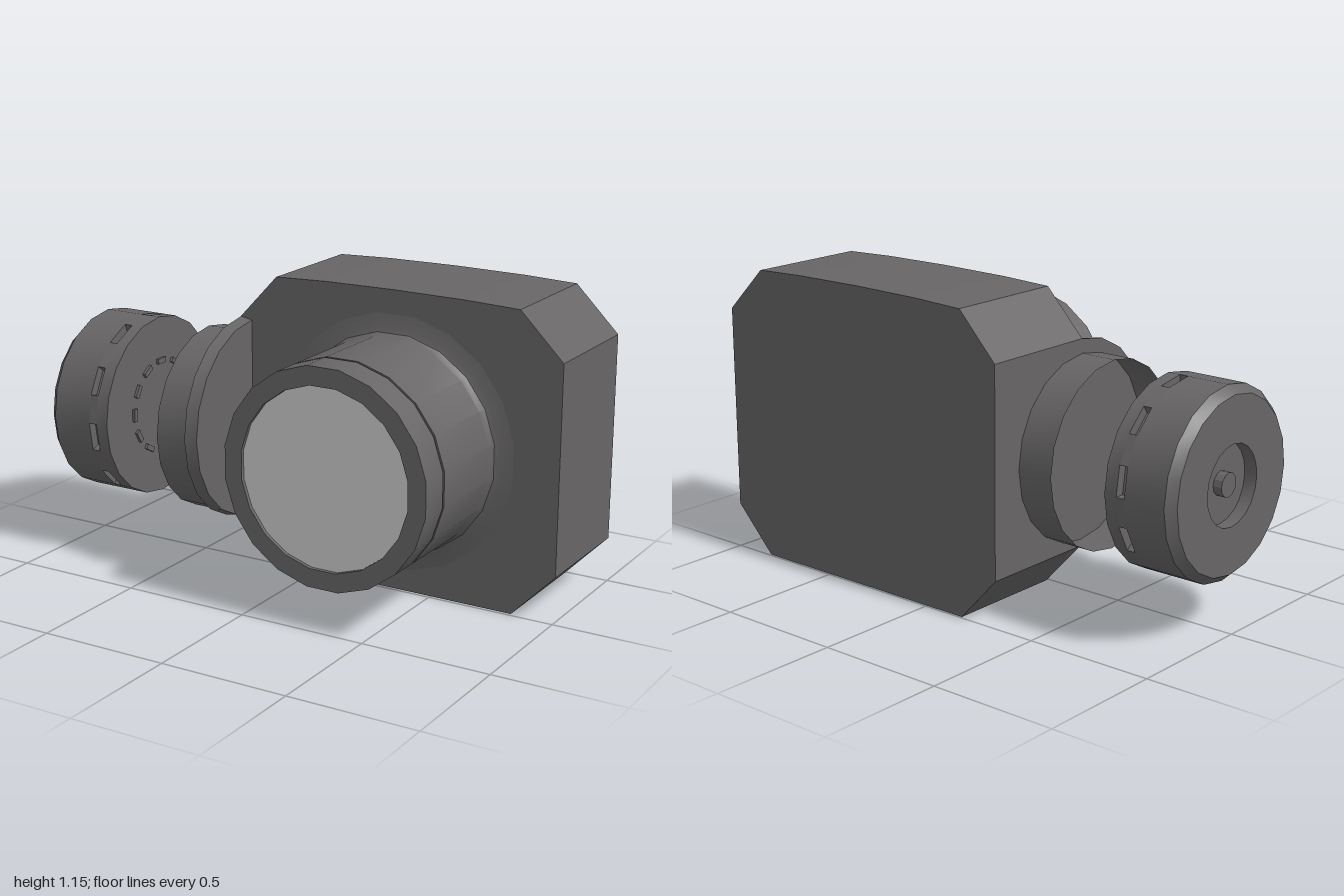
import * as THREE from 'three';
import { toCreasedNormals } from 'three/addons/utils/BufferGeometryUtils.js';

const SIDES = 20;
const STEP = (Math.PI * 2) / SIDES;
const darkGrey = new THREE.MeshStandardMaterial({ color: 0x676566 });
const darkOpen = new THREE.MeshStandardMaterial({ color: 0x676566, side: THREE.DoubleSide });
const lightGrey = new THREE.MeshStandardMaterial({ color: 0xcccccc });

function add(parent, name, geometry, material = darkGrey) {
  const mesh = new THREE.Mesh(geometry, material);
  mesh.name = name;
  parent.add(mesh);
  return mesh;
}

// Turned profile of [radius, height along the axis] pairs
function turned(points, start = 0, sides = SIDES) {
  const profile = points.map(([r, h]) => new THREE.Vector2(r, h));
  return toCreasedNormals(new THREE.LatheGeometry(profile, sides, start), 0.5);
}
const alongX = (geometry) => geometry.rotateZ(-Math.PI / 2);
const alongZ = (geometry) => geometry.rotateX(Math.PI / 2);

function makeBody() {
  // Chamfered block with a slightly bowed top
  const outline = [
    [-0.17, 0], [0.83, 0], [1, 0.175], [1, 0.965], [0.83, 1.135],
    [0.62, 1.143], [0.33, 1.146], [0.04, 1.143], [-0.17, 1.135], [-0.33, 0.965], [-0.33, 0.175],
  ];
  const shape = new THREE.Shape(outline.map(([x, y]) => new THREE.Vector2(x, y)));
  const geometry = new THREE.ExtrudeGeometry(shape, { depth: 0.48, bevelEnabled: false });
  return geometry.translate(0, 0, -0.493);
}

function makeBarrel() {
  const barrel = new THREE.Group();
  barrel.name = 'frontBarrel';
  barrel.position.set(0.335, 0.57, 0);
  // Flared foot, wall with a narrow groove, front rim and shallow recess
  add(barrel, 'barrelWall', alongZ(turned([
    [0.5, -0.014], [0.44, -0.007], [0.421, 0], [0.41, 0.025],
    [0.41, 0.36], [0.404, 0.36], [0.404, 0.371], [0.41, 0.371],
    [0.41, 0.493], [0.339, 0.493], [0.339, 0.478],
  ], STEP / 2)));
  add(barrel, 'frontDisc', alongZ(turned([[0.339, 0.478], [0, 0.478]], STEP / 2)), lightGrey);
  return barrel;
}

function makeSocket() {
  const socket = new THREE.Group();
  socket.name = 'sideSocket';
  socket.position.set(0, 0.555, -0.01);
  add(socket, 'socketSleeve', alongX(turned([[0.355, -0.475], [0.355, -0.325]])), darkOpen);
  // Flange closing the sleeve, half buried in the body
  const flange = add(socket, 'socketFlange', alongX(turned([
    [0, -0.329], [0.39, -0.329], [0.382, -0.28], [0, -0.28],
  ])));
  flange.position.set(0, 0.02, -0.005);
  return socket;
}

function makeKnob() {
  const knob = new THREE.Group();
  knob.name = 'sideKnob';
  knob.position.set(0, 0.555, -0.025);
  // Chamfered cap with a round recess in its outer face
  add(knob, 'knobCap', alongX(turned([
    [0, -0.95], [0.15, -0.95], [0.15, -1], [0.325, -1], [0.355, -0.968],
    [0.355, -0.803], [0, -0.803],
  ])));
  add(knob, 'recessPin', alongX(turned([[0, -0.985], [0.045, -0.985], [0.045, -0.95]], 0, 12)));
  add(knob, 'knobBackPlate', alongX(turned([
    [0, -0.77], [0.355, -0.77], [0.355, -0.72], [0, -0.72],
  ])));

  // Notched band: every second facet is cut back
  const notched = new THREE.Shape();
  for (let i = 0; i < SIDES; i++) {
    const r = i % 2 ? 0.32 : 0.355;
    for (const a of [i * STEP, (i + 1) * STEP]) {
      // x is mirrored because turning the band to the x axis maps x to -z
      const x = -r * Math.cos(a), y = r * Math.sin(a);
      if (i === 0 && a === 0) notched.moveTo(x, y);
      else notched.lineTo(x, y);
    }
  }
  const band = new THREE.ExtrudeGeometry(notched, { depth: 0.033, bevelEnabled: false });
  add(knob, 'notchedBand', band.rotateY(Math.PI / 2).translate(-0.803, 0, 0));

  // Ring of small lugs on the inner face
  for (let i = 0; i < 12; i++) {
    const a = (i / 12) * Math.PI * 2;
    const lug = add(knob, 'innerLug', new THREE.BoxGeometry(0.014, 0.02, 0.05));
    lug.position.set(-0.716, 0.18 * Math.cos(a), 0.18 * Math.sin(a));
    lug.rotation.x = a;
  }
  return knob;
}

export function createModel() {
  const model = new THREE.Group();
  model.name = 'device';
  add(model, 'body', makeBody());
  model.add(makeBarrel(), makeSocket(), makeKnob());
  return model;
}
